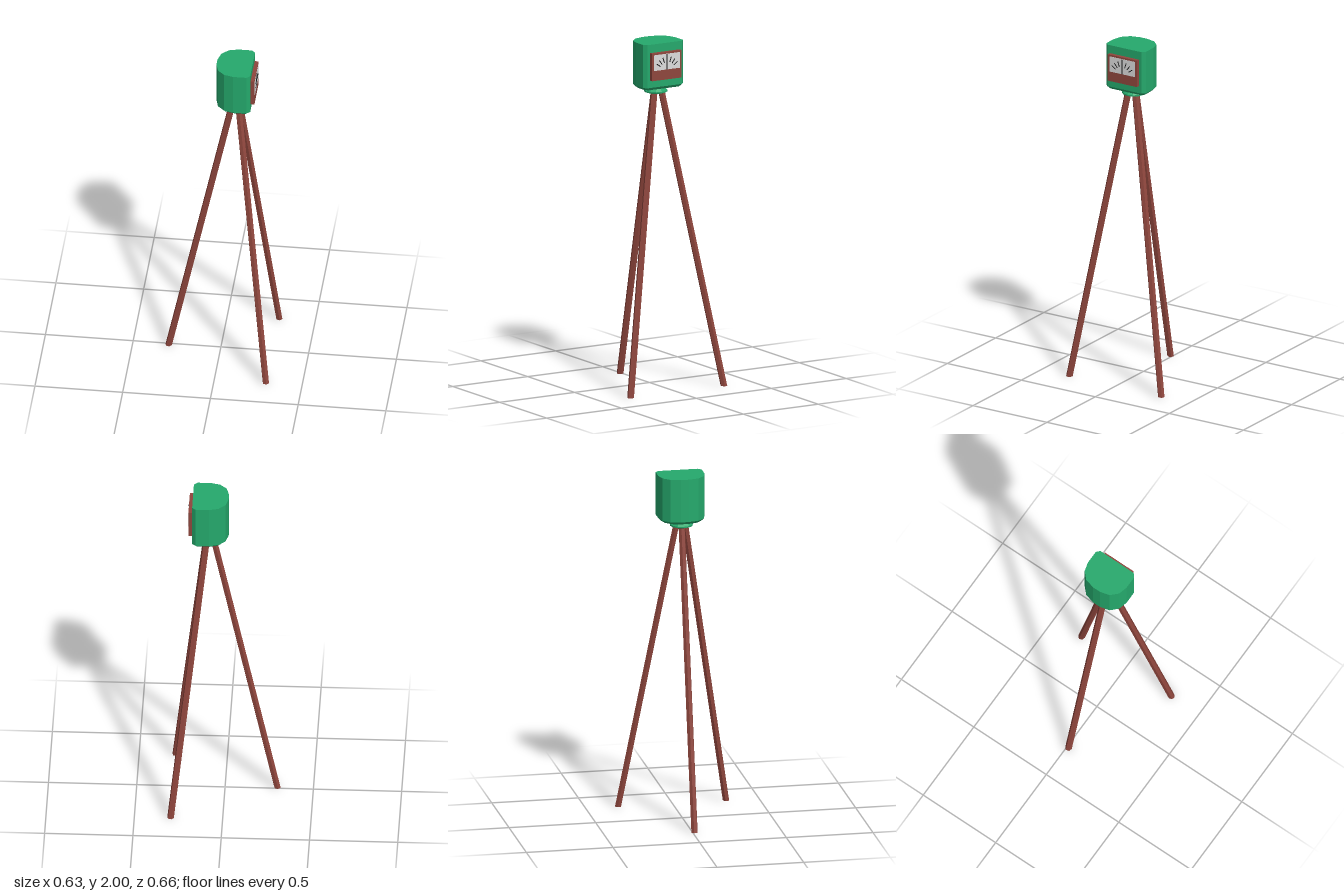
import * as THREE from 'three';

const mat = (name, color) => {
  const m = new THREE.MeshStandardMaterial({ color });
  m.name = name;
  return m;
};

// Closed faceted solid through rings of [x, y, z] points, listed bottom to top
function loft(rings) {
  const pos = [];
  const tri = (a, b, c) => pos.push(...a, ...b, ...c);
  const n = rings[0].length;
  for (let r = 0; r < rings.length - 1; r++) {
    for (let i = 0; i < n; i++) {
      const j = (i + 1) % n;
      const a = rings[r][i], b = rings[r][j], c = rings[r + 1][i], d = rings[r + 1][j];
      tri(a, c, b);
      tri(b, c, d);
    }
  }
  const bottom = rings[0], top = rings[rings.length - 1];
  for (let i = 1; i < n - 1; i++) {
    tri(bottom[0], bottom[i], bottom[i + 1]);
    tri(top[0], top[i + 1], top[i]);
  }
  const g = new THREE.BufferGeometry();
  g.setAttribute('position', new THREE.Float32BufferAttribute(pos, 3));
  g.computeVertexNormals();
  return g;
}

// Horizontal regular polygon
const polygon = (cx, y, cz, radius, sides, turn = 0) =>
  Array.from({ length: sides }, (_, i) => {
    const a = turn + (i / sides) * Math.PI * 2;
    return [cx + radius * Math.cos(a), y, cz + radius * Math.sin(a)];
  });

export function createModel() {
  const green = mat('green casing', 0x25a96c);
  const brown = mat('reddish brown', 0x8f463d);
  const white = mat('dial white', 0xdcdcdc);
  const black = mat('dial black', 0x161616);

  const model = new THREE.Group();
  const add = (name, geometry, material, parent = model) => {
    const mesh = new THREE.Mesh(geometry, material);
    mesh.name = name;
    parent.add(mesh);
    return mesh;
  };
  const CZ = 0.0115; // symmetry plane of the head

  // Casing: flat dial side at +x, rounded back, bevelled lower edge
  const half = [[0.182, 0.115], [0.162, 0.133], [0.085, 0.133], [0.033, 0.119], [-0.006, 0.081], [-0.021, 0.023]];
  const outline = [...half, ...half.slice().reverse().map(([x, z]) => [x, -z])];
  const ring = (y, s) => outline.map(([x, z]) => [0.085 + (x - 0.085) * s, y, CZ + z * s]);
  add('casing', loft([ring(1.735, 0.88), ring(1.75, 1), ring(2, 1)]), green);

  // Flared collar under the casing
  const collar = [[1.698, 0.052], [1.703, 0.066], [1.711, 0.066], [1.738, 0.04]];
  add('collar', loft(collar.map(([y, r]) => polygon(0.085, y, CZ, r, 12))), green);

  // Three six-sided legs, cut level with the ground: [foot x, foot z, top x, top z]
  const legs = [
    [-0.296, 0.011, 0.064, 0.009],
    [0.295, -0.312, 0.106, -0.014],
    [0.293, 0.31, 0.106, 0.036],
  ];
  legs.forEach(([fx, fz, tx, tz], i) => {
    const turn = THREE.MathUtils.degToRad(196 + 120 * i);
    add('leg' + (i + 1), loft([
      polygon(fx, 0, fz, 0.0195, 6, turn),
      polygon(tx, 1.703, tz, 0.0195, 6, turn),
    ]), brown);
  });

  // Gauge on the +x side
  const gauge = new THREE.Group();
  gauge.name = 'gauge';
  gauge.position.z = CZ;
  model.add(gauge);
  const box = (name, w, h, d, x, y, z, material) => {
    const m = add(name, new THREE.BoxGeometry(w, h, d), material, gauge);
    m.position.set(x, y, z);
    return m;
  };
  box('gaugeHousing', 0.03, 0.159, 0.197, 0.189, 1.8725, 0, brown);
  box('dialFace', 0.004, 0.091, 0.172, 0.2035, 1.8965, 0, white);
  box('needle', 0.004, 0.088, 0.007, 0.205, 1.896, 0, black);

  // Scale marks fanning out around the needle's pivot
  for (const side of [-1, 1]) {
    for (const deg of [19, 37, 54]) {
      const a = side * THREE.MathUtils.degToRad(deg);
      const r = 0.07;
      const mark = box('scaleMark', 0.004, 0.032, 0.005, 0.2045, 1.84 + r * Math.cos(a), r * Math.sin(a), black);
      mark.rotation.x = a;
    }
  }
  return model;
}
